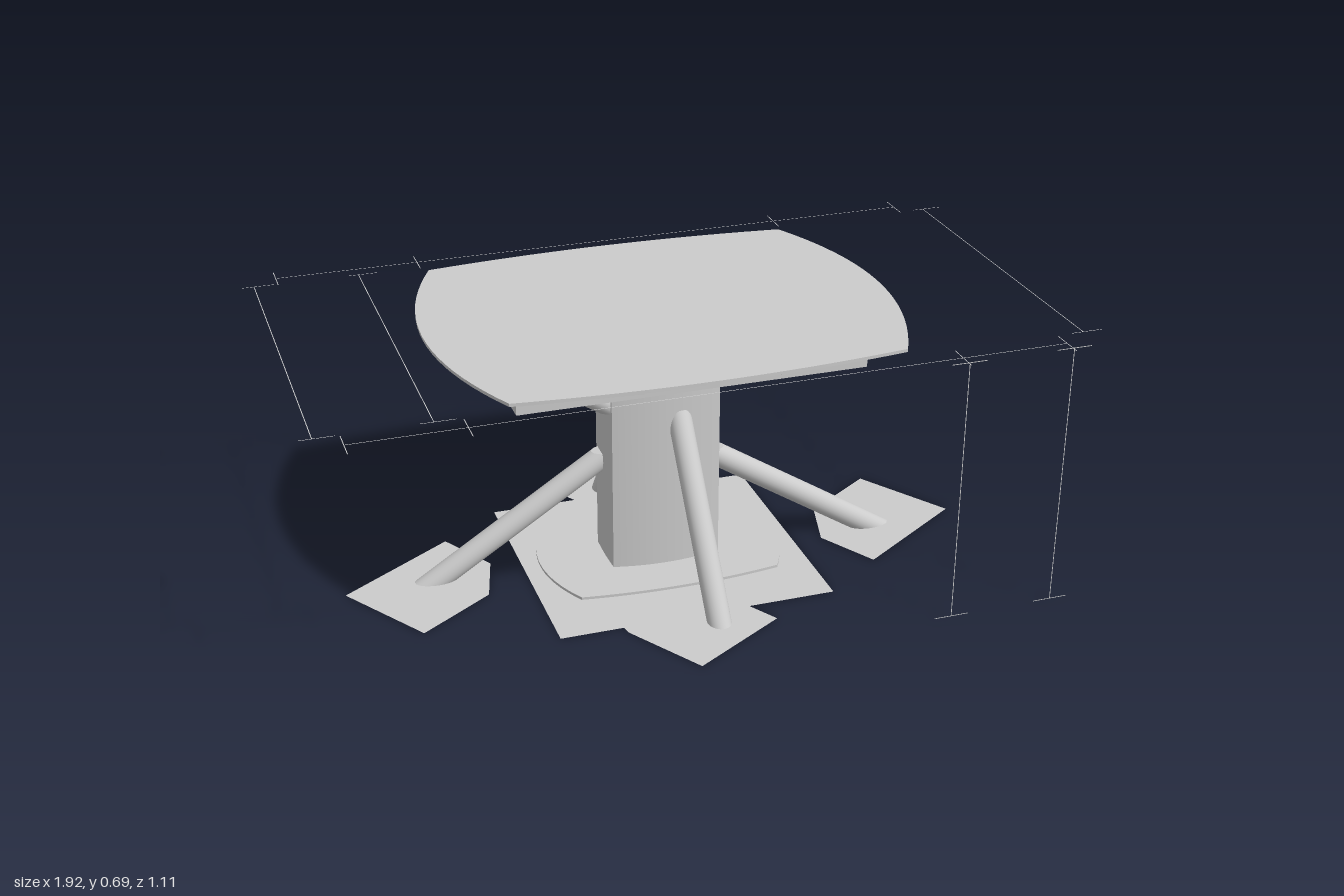
import * as THREE from 'three';
import { toCreasedNormals } from 'three/addons/utils/BufferGeometryUtils.js';

const grey = new THREE.MeshStandardMaterial({ color: 0xcccccc });
const thin = new THREE.MeshStandardMaterial({ color: 0xcccccc, side: THREE.DoubleSide });

export function createModel() {
  const model = new THREE.Group();
  const table = new THREE.Group();
  table.name = 'table';
  table.position.set(-0.005, 0, -0.003);
  model.add(table);

  const add = (name, geometry, parent = table, material = grey) => {
    const mesh = new THREE.Mesh(geometry, material);
    mesh.name = name;
    parent.add(mesh);
    return mesh;
  };

  const box = (name, w, h, d, x, y, z) =>
    add(name, new THREE.BoxGeometry(w, h, d).translate(x, y, z));

  // Upright slab from a plan outline
  const slab = (name, shape, y0, y1) => {
    const g = new THREE.ExtrudeGeometry(shape, { depth: y1 - y0, bevelEnabled: false, curveSegments: 20 });
    g.rotateX(-Math.PI / 2).translate(0, y0, 0);
    return add(name, toCreasedNormals(g, 0.5));
  };

  // Rectangle with bowed sides: corner (cx, cz), widest points mx and mz
  const barrel = (cx, cz, mx, mz) => {
    const s = new THREE.Shape();
    s.moveTo(-cx, -cz);
    s.quadraticCurveTo(0, -(2 * mz - cz), cx, -cz);
    s.quadraticCurveTo(2 * mx - cx, 0, cx, cz);
    s.quadraticCurveTo(0, 2 * mz - cz, -cx, cz);
    s.quadraticCurveTo(-(2 * mx - cx), 0, -cx, -cz);
    return s;
  };

  // Round strut whose ends are cut level with the floor
  const strut = (name, x0, y0, z0, x1, y1, z1, r) => {
    const axis = new THREE.Vector3(x1 - x0, y1 - y0, z1 - z0);
    const flat = new THREE.Vector3(axis.x, 0, axis.z).normalize();
    const side = new THREE.Vector3().crossVectors(flat, axis).normalize();
    flat.multiplyScalar(axis.length() / Math.abs(axis.y));
    if (flat.clone().cross(axis).dot(side) < 0) side.negate();
    const g = new THREE.CylinderGeometry(r, r, 1, 28).translate(0, 0.5, 0);
    g.applyMatrix4(new THREE.Matrix4().makeBasis(flat, axis, side).setPosition(x0, y0, z0));
    return add(name, g);
  };

  // Top, base and column
  slab('tableTop', barrel(0.48, 0.42, 0.585, 0.45), 0.677, 0.685);
  slab('basePlate', barrel(0.26, 0.19, 0.315, 0.21), 0.009, 0.016);
  slab('baseFoot', barrel(0.24, 0.172, 0.29, 0.19), 0, 0.009);
  slab('column', barrel(0.141, 0.071, 0.143, 0.089), 0.012, 0.6);

  // Extension leaves under the top
  for (const s of [1, -1]) {
    const leaf = new THREE.Shape();
    leaf.moveTo(0.165, -0.415);
    leaf.lineTo(0.45, -0.39);
    leaf.quadraticCurveTo(0.64, 0, 0.45, 0.39);
    leaf.lineTo(0.165, 0.415);
    leaf.closePath();
    slab('extensionLeaf', leaf, 0.66, 0.668).rotation.y = s > 0 ? 0 : Math.PI;

    // Frame rails, cross members and leaf runners
    box('frameLongRail', 0.87, 0.053, 0.025, 0, 0.618, s * 0.282);
    box('frameEndRail', 0.025, 0.053, 0.54, s * 0.4225, 0.618, 0);
    box('frameCrossBar', 0.03, 0.03, 0.54, s * 0.17, 0.627, 0);
    box('frameInnerRail', 0.82, 0.03, 0.03, 0, 0.627, s * 0.1);
    for (const t of [1, -1]) {
      box('runnerFoot', 0.03, 0.016, 0.011, s * 0.33, 0.652, t * 0.28);
      box('runnerPad', 0.12, 0.005, 0.022, s * 0.33, 0.6575, t * 0.28);
    }

    // Floor legs and arms up to the frame, in half-turn pairs
    strut('sideLeg', s * 0.58, 0, s * 0.033, s * 0.11, 0.3, s * 0.033, 0.03);
    strut('crossLeg', s * 0.035, 0, s * 0.38, s * 0.035, 0.44, s * 0.052, 0.03);
    strut('upperArm', s * 0.11, 0.442, -s * 0.034, s * 0.362, 0.602, -s * 0.034, 0.03);
  }
  box('columnHead', 0.3, 0.012, 0.19, 0, 0.606, 0);
  add('centrePin', new THREE.CylinderGeometry(0.011, 0.011, 0.034, 16).translate(0, 0.66, 0));
  add('pinCap', new THREE.CylinderGeometry(0.019, 0.019, 0.007, 16).translate(0, 0.673, 0));

  // Flat floor patches, the outer ones in half-turn pairs
  const patch = (name, points, turn) => {
    const shape = new THREE.Shape(points.map(([x, z]) => new THREE.Vector2(x, -z)));
    const g = new THREE.ShapeGeometry(shape).rotateX(-Math.PI / 2).translate(0, 0.001, 0);
    add(name, g, table, thin).rotation.y = turn;
  };
  patch('floorPatchCentre', [[-0.355, -0.335], [0.355, -0.335], [0.355, 0.335], [-0.355, 0.335]], 0);
  for (const turn of [0, Math.PI]) {
    patch('floorPatchSide', [[0.812, 0.027], [0.662, -0.208], [0.47, -0.08], [0.43, 0.07], [0.515, 0.22]], turn);
    patch('floorPatchEnd', [[-0.07, 0.555], [0.175, 0.41], [0.13, 0.335], [-0.195, 0.335], [-0.19, 0.36]], turn);
  }

  // Hairline measuring guides: level ones around the top, upright ones in front
  const guides = new THREE.Group();
  guides.name = 'measuringGuides';
  model.add(guides);
  const W = 0.002;
  const flatLine = (x0, z0, x1, z1) => add('guideLine',
    new THREE.PlaneGeometry(Math.max(x1 - x0, W), Math.max(z1 - z0, W)).rotateX(-Math.PI / 2)
      .translate((x0 + x1) / 2, 0.68, (z0 + z1) / 2), guides, thin);
  const uprightLine = (x0, y0, x1, y1) => add('guideLine',
    new THREE.PlaneGeometry(Math.max(x1 - x0, W), Math.max(y1 - y0, W))
      .translate((x0 + x1) / 2, (y0 + y1) / 2, 0.53), guides, thin);
  for (const [z, ticks] of [[-0.5, [-0.865, -0.5, 0.49, 0.85]], [0.495, [-0.865, -0.595, 0.58, 0.85]]]) {
    flatLine(-0.865, z, 0.85, z);
    for (const x of ticks) flatLine(x, z - 0.045, x, z + 0.045);
  }
  for (const x of [-0.925, -0.66, 0.92]) {
    flatLine(x, -0.46, x, 0.445);
    for (const z of [-0.46, 0.445]) flatLine(x - 0.03, z, x + 0.05, z);
  }
  for (const x of [0.58, 0.85]) {
    uprightLine(x, 0, x, 0.683);
    for (const y of [0.001, 0.683]) uprightLine(x - 0.045, y, x + 0.045, y);
  }
  return model;
}
